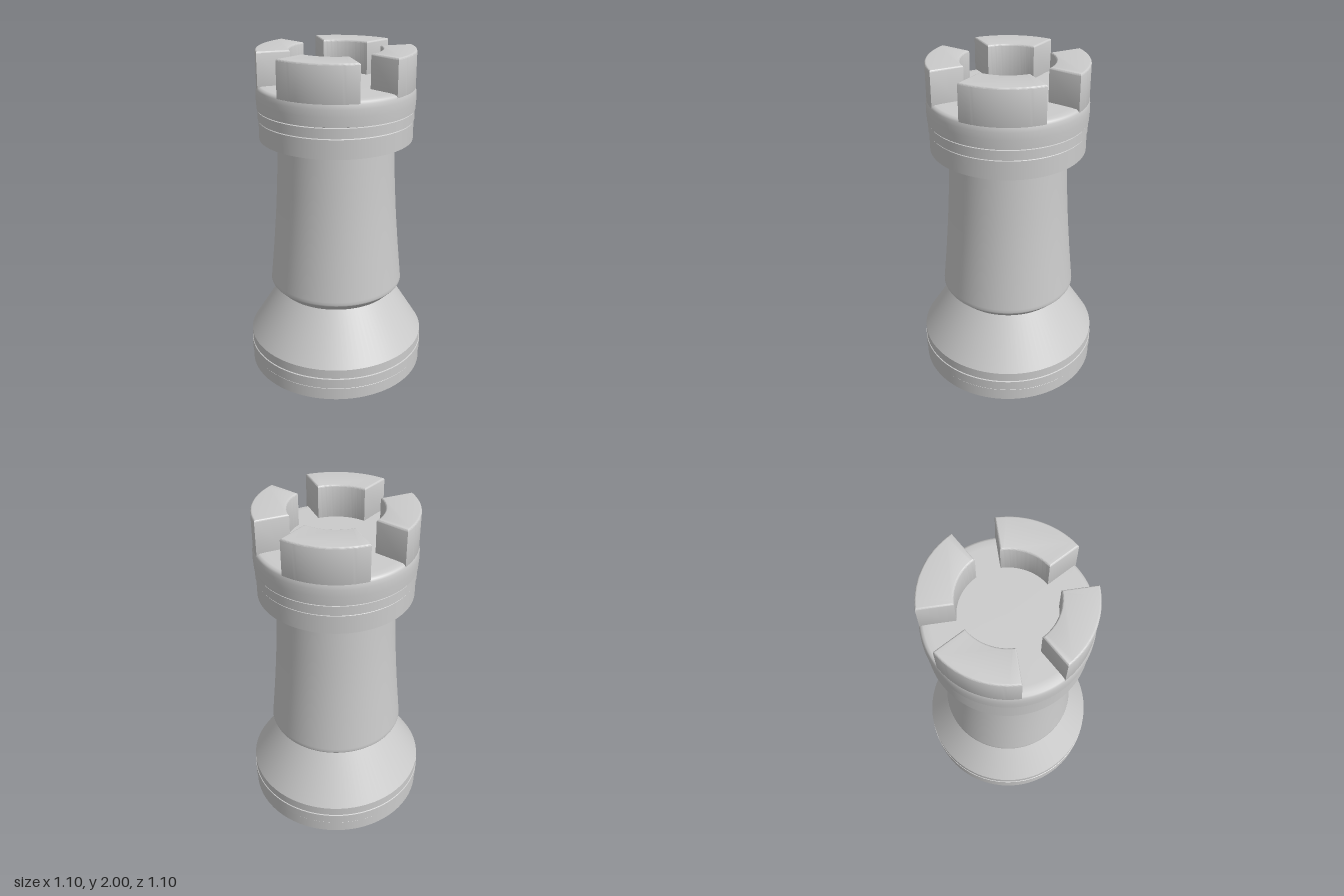
import * as THREE from 'three';
import { mergeGeometries, toCreasedNormals } from 'three/addons/utils/BufferGeometryUtils.js';

const material = new THREE.MeshStandardMaterial({ color: 0xcccccc });
const SEGMENTS = 96;

// Turned part: each run of [radius, y] points is smooth, with a sharp edge between runs.
function turned(name, runs) {
  const parts = runs.map((run) =>
    new THREE.LatheGeometry(run.map(([r, y]) => new THREE.Vector2(r, y)), SEGMENTS));
  const mesh = new THREE.Mesh(mergeGeometries(parts), material);
  mesh.name = name;
  return mesh;
}

// Straight-edged profile: every pair of neighbouring points is its own run.
const facets = (points) => points.slice(1).map((p, i) => [points[i], p]);

// Ring-sector block with softly rounded top edges.
function merlonGeometry(inner, outer, halfAngle, bottom, top) {
  const bevel = 0.01;
  const shape = new THREE.Shape();
  shape.absarc(0, 0, outer, -halfAngle, halfAngle, false);
  shape.absarc(0, 0, inner, halfAngle, -halfAngle, true);
  shape.closePath();
  const geometry = new THREE.ExtrudeGeometry(shape, {
    depth: top - bottom - 2 * bevel, curveSegments: 20,
    bevelThickness: bevel, bevelSize: bevel, bevelOffset: -bevel, bevelSegments: 3,
  });
  geometry.rotateX(-Math.PI / 2).translate(0, bottom + bevel, 0);
  return toCreasedNormals(geometry, Math.PI / 5);
}

export function createModel() {
  const model = new THREE.Group();
  model.name = 'rook';

  // Banded foot and sloping skirt
  model.add(turned('base', facets([
    [0, 0], [0.545, 0], [0.545, 0.075], [0.541, 0.078], [0.549, 0.081],
    [0.549, 0.143], [0.541, 0.146], [0.546, 0.149], [0.546, 0.207], [0.358, 0.51],
  ])));

  // Tower: undercut lip, then a gently concave taper
  model.add(turned('tower', [
    [[0.358, 0.51], [0.405, 0.558]],
    [[0.405, 0.558], [0.409, 0.568], [0.407, 0.585], [0.386, 0.8], [0.369, 1.0],
      [0.356, 1.2], [0.348, 1.4], [0.345, 1.49]],
  ]));

  // Banded head with a rounded rim around the floor
  model.add(turned('head', [
    ...facets([
      [0.34, 1.485], [0.452, 1.485], [0.452, 1.595], [0.446, 1.599], [0.456, 1.602],
      [0.456, 1.658], [0.448, 1.661], [0.46, 1.665],
    ]),
    [[0.46, 1.665], [0.463, 1.72], [0.462, 1.76], [0.458, 1.785], [0.452, 1.797],
      [0.438, 1.804], [0.4, 1.806], [0, 1.806]],
  ]));

  // Four merlons facing front, back, left and right
  const geometry = merlonGeometry(0.265, 0.457, Math.PI / 6, 1.76, 2);
  const battlements = new THREE.Group();
  battlements.name = 'battlements';
  for (let i = 0; i < 4; i++) {
    const merlon = new THREE.Mesh(geometry, material);
    merlon.name = 'merlon';
    merlon.rotation.y = i * Math.PI / 2;
    battlements.add(merlon);
  }
  model.add(battlements);

  return model;
}
